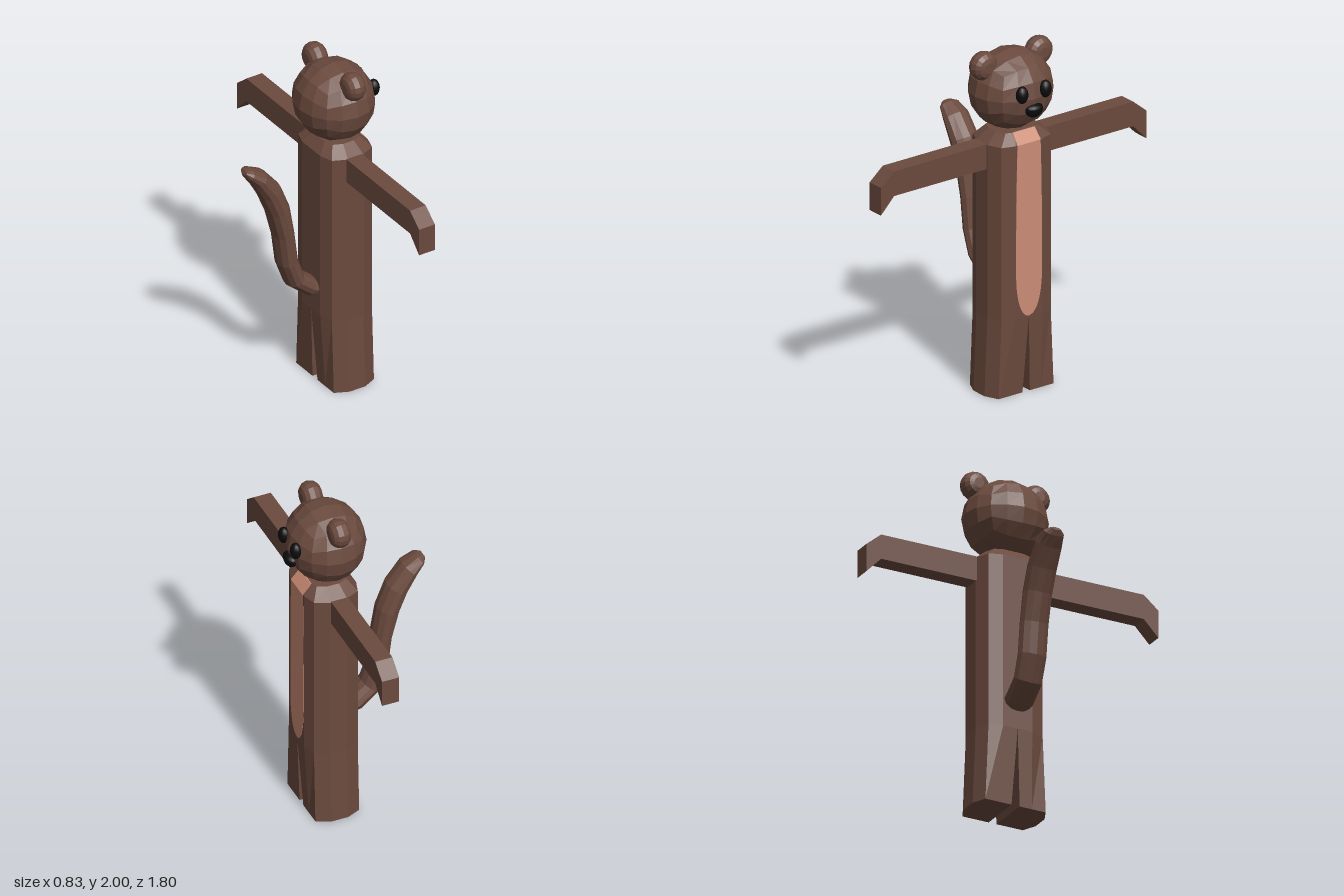
import * as THREE from 'three';

const CX = 0.18, CZ = -0.02;

// Join closed rings (counterclockwise seen from the end) into a capped solid.
function loft(rings) {
  const pos = [];
  const tri = (...ps) => ps.forEach(p => pos.push(p.x, p.y, p.z));
  const n = rings[0].length;
  for (let r = 0; r < rings.length - 1; r++) {
    const a = rings[r], b = rings[r + 1];
    for (let i = 0; i < n; i++) {
      const j = (i + 1) % n;
      tri(a[i], a[j], b[j]);
      tri(a[i], b[j], b[i]);
    }
  }
  const first = rings[0], last = rings[rings.length - 1];
  for (let i = 1; i < n - 1; i++) {
    tri(first[0], first[i + 1], first[i]);
    tri(last[0], last[i], last[i + 1]);
  }
  const g = new THREE.BufferGeometry();
  g.setAttribute('position', new THREE.Float32BufferAttribute(pos, 3));
  g.computeVertexNormals();
  return g;
}

// Drop shared vertices so every facet is flat.
function facet(g) {
  const f = g.index ? g.toNonIndexed() : g;
  f.computeVertexNormals();
  return f;
}

export function createModel() {
  const model = new THREE.Group();
  const brown = new THREE.MeshStandardMaterial({ color: 0x6b4a3e });
  brown.name = 'brown fur';
  const tan = new THREE.MeshStandardMaterial({ color: 0xcb8c76 });
  tan.name = 'tan belly';
  const black = new THREE.MeshStandardMaterial({ color: 0x0b0b0b });
  black.name = 'black';

  const add = (name, geo, mat, x = 0, y = 0, z = 0) => {
    const m = new THREE.Mesh(geo, mat);
    m.name = name;
    m.position.set(x, y, z);
    model.add(m);
    return m;
  };

  // Body: faceted column with sloped shoulders; half outline as [x, z] from the centre
  const half = [[-0.155, 0.09], [-0.13, 0.167], [-0.05, 0.203], [0.05, 0.203], [0.13, 0.167], [0.155, 0.09]];
  const outline = [...half, ...[...half].reverse().map(([x, z]) => [x, -z])];
  const section = (y, sx, sz) => outline.map(([x, z]) => new THREE.Vector3(x * sx, y, z * sz));
  add('body', loft([section(0.45, 1, 1), section(1.472, 1, 1), section(1.53, 0.68, 0.65)]), brown, CX, 0, CZ);

  // Legs: each continues half of the body and splays outward to a flat foot
  const legTop = [[-0.155, 0], ...half, [0.155, 0]];
  const legFoot = [[-0.13, 0.025], [-0.13, 0.1], [-0.13, 0.186], [-0.05, 0.222],
    [0.05, 0.222], [0.13, 0.186], [0.13, 0.1], [0.13, 0.025]];
  for (const s of [1, -1]) {
    const ring = (pts, y) => {
      const r = pts.map(([x, z]) => new THREE.Vector3(x, y, z * s));
      return s > 0 ? r : r.reverse();
    };
    add(s > 0 ? 'rightLeg' : 'leftLeg', loft([ring(legFoot, 0), ring(legTop, 0.45)]), brown, CX, 0, CZ);
  }

  // Belly: thin panel with a rounded bottom, plus a strip up the shoulder slope
  const belly = new THREE.Shape();
  belly.moveTo(0.078, 1.473);
  belly.bezierCurveTo(0.084, 1.3, 0.088, 1.1, 0.088, 0.72);
  belly.bezierCurveTo(0.088, 0.55, 0.05, 0.456, 0, 0.456);
  belly.bezierCurveTo(-0.05, 0.456, -0.088, 0.55, -0.088, 0.72);
  belly.bezierCurveTo(-0.088, 1.1, -0.084, 1.3, -0.078, 1.473);
  const bellyGeo = new THREE.ExtrudeGeometry(belly, { depth: 0.004, bevelEnabled: false, curveSegments: 10 });
  bellyGeo.rotateY(Math.PI / 2);
  add('belly', bellyGeo, tan, 0.333, 0, CZ);
  const strip = (x, y, w) => [[-0.006, w], [0, w], [0, -w], [-0.006, -w]]
    .map(([dx, z]) => new THREE.Vector3(x + dx, y, z));
  add('chestStrip', loft([strip(0.338, 1.472, 0.078), strip(0.289, 1.532, 0.075)]), tan, 0, 0, CZ);

  // Arms: straight out to the sides with drooping hands
  for (const s of [1, -1]) {
    const arm = new THREE.Shape([[0, 1.33], [0.81, 1.33], [0.9, 1.237], [0.9, 1.4], [0.81, 1.475], [0, 1.475]]
      .map(([z, y]) => new THREE.Vector2(-z * s, y)));
    const g = new THREE.ExtrudeGeometry(arm, { depth: 0.102, bevelEnabled: false });
    g.rotateY(Math.PI / 2);
    add(s > 0 ? 'rightArm' : 'leftArm', g, brown, 0.122, 0, 0);
  }

  // Head: cube rounded into a faceted ball
  const head = new THREE.BoxGeometry(2, 2, 2, 4, 4, 4);
  const p = head.attributes.position, v = new THREE.Vector3();
  for (let i = 0; i < p.count; i++) {
    v.fromBufferAttribute(p, i);
    v.set(Math.tan(v.x * 0.75), Math.tan(v.y * 0.75), Math.tan(v.z * 0.75)).normalize();
    p.setXYZ(i, v.x * 0.222, v.y * 0.23, v.z * 0.243);
  }
  add('head', facet(head), brown, 0.17, 1.746, CZ);

  // Ears: thick discs with rounded rims, facing forward
  const earProfile = [new THREE.Vector2(0, -0.057)];
  for (let i = 0; i <= 6; i++) {
    const a = -Math.PI / 2 + i * Math.PI / 6;
    earProfile.push(new THREE.Vector2(0.03 + 0.053 * Math.cos(a), 0.057 * Math.sin(a)));
  }
  earProfile.push(new THREE.Vector2(0, 0.057));
  const earGeo = new THREE.LatheGeometry(earProfile, 16);
  earGeo.rotateZ(-Math.PI / 2);
  const earFlat = facet(earGeo);

  // Eyes: flattened ovals
  const eyeGeo = new THREE.SphereGeometry(1, 12, 10);
  eyeGeo.scale(0.032, 0.05, 0.036);
  for (const s of [1, -1]) {
    const side = s > 0 ? 'right' : 'left';
    add(side + 'Ear', earFlat, brown, 0.172, 1.917, CZ + 0.187 * s);
    add(side + 'Eye', eyeGeo, black, 0.379, 1.785, CZ + 0.079 * s);
  }

  // Nose: ball with a flattened top
  const nose = new THREE.SphereGeometry(1, 14, 12);
  const np = nose.attributes.position;
  for (let i = 0; i < np.count; i++) {
    const y = np.getY(i);
    np.setXYZ(i, np.getX(i) * 0.042, y > 0 ? y * 0.026 : y * 0.055, np.getZ(i) * 0.056);
  }
  nose.computeVertexNormals();
  add('nose', nose, black, 0.374, 1.69, CZ - 0.003);

  // Tail: oval tube, each stop is [x, y, thickness, width]
  const stops = [[0.07, 0.602, 0.057, 0.08], [0, 0.618, 0.057, 0.085], [-0.09, 0.69, 0.056, 0.085],
    [-0.137, 0.82, 0.056, 0.085], [-0.16, 1, 0.056, 0.085], [-0.197, 1.17, 0.065, 0.085],
    [-0.25, 1.3, 0.066, 0.085], [-0.325, 1.408, 0.053, 0.08], [-0.385, 1.455, 0.033, 0.062],
    [-0.41, 1.469, 0.012, 0.03]];
  const path = new THREE.CatmullRomCurve3(stops.map(([x, y]) => new THREE.Vector3(x, y, 0)));
  const zAxis = new THREE.Vector3(0, 0, 1);
  const rings = stops.map(([x, y, r, w], k) => {
    const n = new THREE.Vector3().crossVectors(zAxis, path.getTangent(k / (stops.length - 1))).normalize();
    return Array.from({ length: 12 }, (_, i) => {
      const a = i * Math.PI / 6;
      return new THREE.Vector3(x, y, 0).addScaledVector(n, r * Math.cos(a)).addScaledVector(zAxis, w * Math.sin(a));
    });
  });
  add('tail', loft(rings), brown, 0, 0, CZ);

  return model;
}
